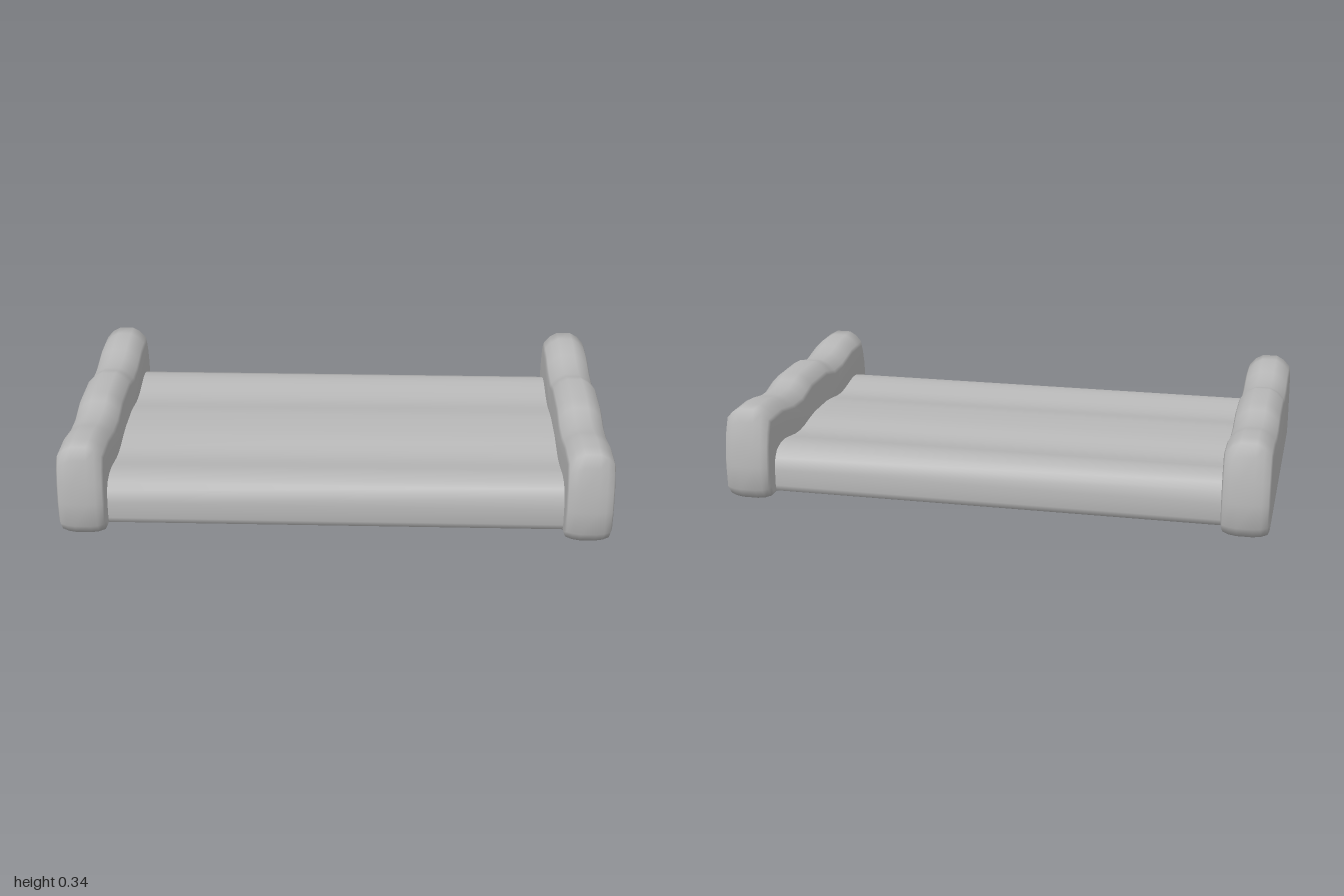
import * as THREE from 'three';

// Joins closed cross-sections (same point count) along x; optional end caps
function loft(sections, capped) {
  const n = sections[0].points.length;
  const pos = [], idx = [];
  for (const s of sections) for (const [z, y] of s.points) pos.push(s.x, y, z);
  for (let i = 0; i < sections.length - 1; i++) {
    for (let j = 0; j < n; j++) {
      const k = (j + 1) % n;
      const a = i * n + j, b = i * n + k, c = a + n, d = b + n;
      idx.push(a, d, b, a, c, d);
    }
  }
  if (capped) {
    const last = (sections.length - 1) * n;
    const c0 = pos.length / 3;
    pos.push(sections[0].x, 0.15, 0, sections[sections.length - 1].x, 0.15, 0);
    for (let j = 0; j < n; j++) {
      const k = (j + 1) % n;
      idx.push(c0, j, k, c0 + 1, last + k, last + j);
    }
  }
  const g = new THREE.BufferGeometry();
  g.setAttribute('position', new THREE.Float32BufferAttribute(pos, 3));
  g.setIndex(idx);
  g.computeVertexNormals();
  return g;
}

// Half outlines as [z, y], from the bottom round to the middle of the top
const railHalf = [[0.3, 0], [0.57, 0], [0.6, 0.04], [0.605, 0.13], [0.597, 0.21], [0.585, 0.3], [0.565, 0.345],
  [0.5, 0.345], [0.43, 0.345], [0.36, 0.332], [0.3, 0.321], [0.2, 0.319], [0.145, 0.332], [0.09, 0.345]];
const deckHalf = [[0.3, 0.008], [0.5, 0.008], [0.523, 0.018], [0.531, 0.04], [0.531, 0.1], [0.522, 0.145], [0.5, 0.172],
  [0.46, 0.184], [0.41, 0.186], [0.36, 0.178], [0.3, 0.168], [0.25, 0.165], [0.2, 0.168], [0.14, 0.178], [0.07, 0.186]];

const mirrorHalf = half => [...half, ...half.slice().reverse().map(([z, y]) => [-z, y])];

// Rail sections: x offset, drop of the crest, lift of the base, inset of the ends
const railSteps = [[0.085, 0.054, 0.022, 0.022], [0.079, 0.04, 0.01, 0.009], [0.056, 0.016, 0.003, 0.003],
  [0.028, 0.001, 0, 0]];

function railGeometry() {
  const outline = mirrorHalf(railHalf);
  const section = ([x, drop, lift, inset], side) => ({
    x: side * x,
    points: outline.map(([z, y]) => {
      const t = THREE.MathUtils.smoothstep(y, 0.2, 0.315);
      const b = 1 - THREE.MathUtils.smoothstep(y, 0, 0.1);
      return [z * (1 - inset / 0.605), y - drop * t + lift * b];
    }),
  });
  return loft([
    ...railSteps.map(s => section(s, -1)),
    ...railSteps.slice().reverse().map(s => section(s, 1)),
  ], true);
}

export function createModel() {
  const model = new THREE.Group();
  model.name = 'tray';
  const grey = new THREE.MeshStandardMaterial({ color: 0xb8b8b8 });
  grey.name = 'grey';

  // Wavy-topped rail at each end
  const railGeo = railGeometry();
  for (const side of [1, -1]) {
    const rail = new THREE.Mesh(railGeo, grey);
    rail.name = side > 0 ? 'leftRail' : 'rightRail';
    rail.position.x = side * 0.915;
    model.add(rail);
  }

  // Rippled deck, its open ends buried in the rails
  const points = mirrorHalf(deckHalf);
  const deck = new THREE.Mesh(loft([{ x: -0.86, points }, { x: 0.86, points }], false), grey);
  deck.name = 'deck';
  model.add(deck);
  return model;
}
